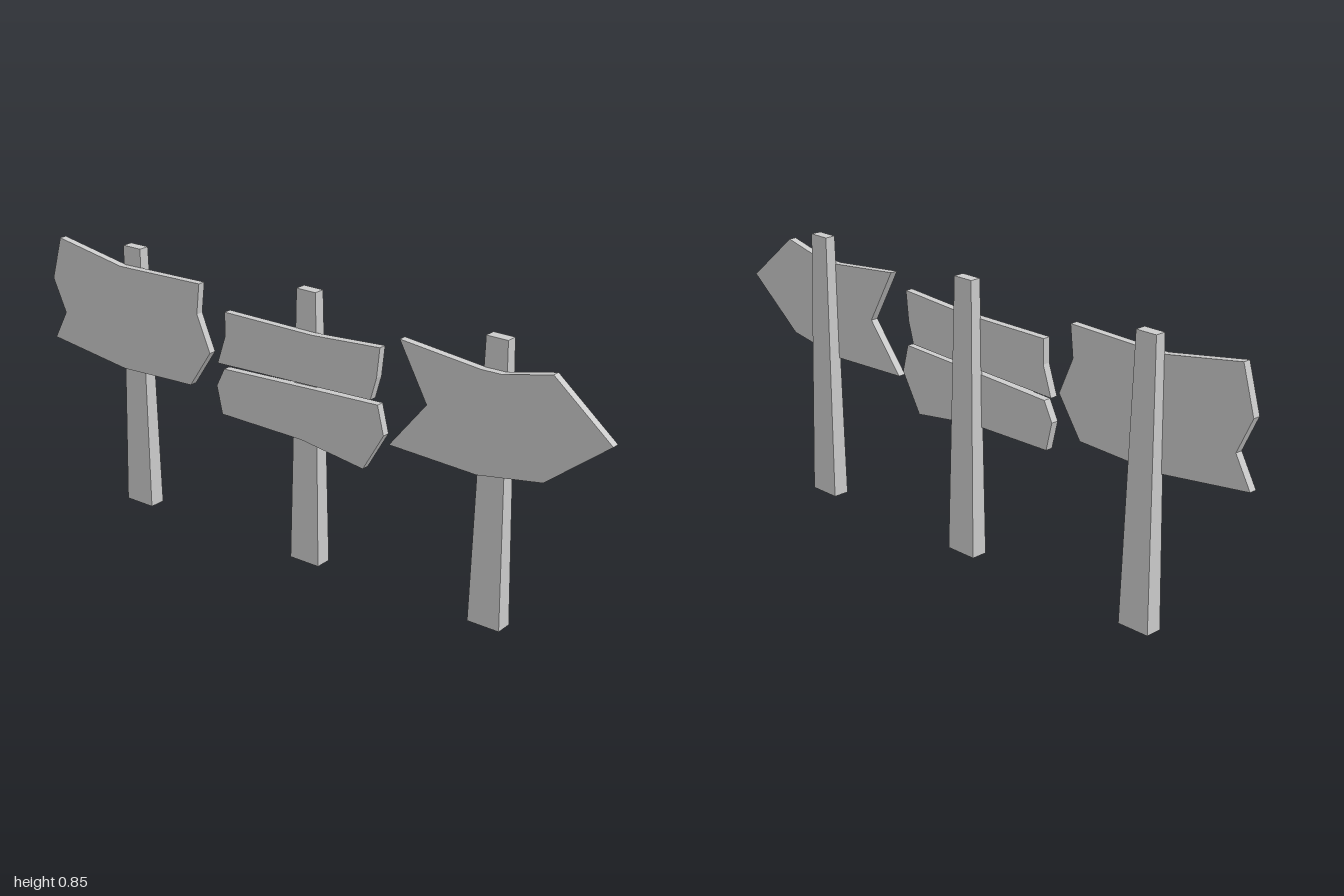
import * as THREE from 'three';

const material = new THREE.MeshStandardMaterial({ color: 0xcccccc, flatShading: true });

// Square post, tapering towards the top
function makePost(x) {
  const height = 0.845, bottom = [0.104, 0.052], top = [0.068, 0.034];
  const geometry = new THREE.BoxGeometry(1, height, 1);
  geometry.translate(0, height / 2, 0);
  const p = geometry.attributes.position;
  for (let i = 0; i < p.count; i++) {
    const [w, d] = p.getY(i) > height / 2 ? top : bottom;
    p.setXYZ(i, p.getX(i) * w, p.getY(i), p.getZ(i) * d);
  }
  geometry.computeVertexNormals();
  const post = new THREE.Mesh(geometry, material);
  post.name = 'post';
  post.position.set(x, 0, -0.006);
  return post;
}

// Flat plank cut to an outline, fixed to the front of a post
function makeBoard(name, outline) {
  const shape = new THREE.Shape(outline.map(([x, y]) => new THREE.Vector2(x, y)));
  const geometry = new THREE.ExtrudeGeometry(shape, { depth: 0.024, bevelEnabled: false });
  const board = new THREE.Mesh(geometry, material);
  board.name = name;
  board.position.z = 0.01;
  return board;
}

const signs = [
  {
    name: 'rightSign', x: -0.672,
    boards: {
      wideBoard: [[-0.957, 0.828], [-0.7, 0.785], [-0.382, 0.793], [-0.393, 0.697], [-0.345, 0.585],
        [-0.425, 0.466], [-0.7, 0.455], [-1, 0.493], [-0.949, 0.585], [-0.997, 0.69]],
    },
  },
  {
    name: 'middleSign', x: 0,
    boards: {
      upperBoard: [[-0.284, 0.727], [0.04, 0.727], [0.275, 0.743], [0.265, 0.652], [0.245, 0.583],
        [0.04, 0.575], [-0.315, 0.562], [-0.284, 0.652]],
      lowerBoard: [[-0.29, 0.549], [0.03, 0.564], [0.27, 0.574], [0.292, 0.487], [0.222, 0.368],
        [0, 0.399], [-0.3, 0.403], [-0.32, 0.49]],
    },
  },
  {
    name: 'leftSign', x: 0.632,
    boards: {
      arrowBoard: [[0.34, 0.783], [0.6, 0.757], [0.666, 0.758], [0.818, 0.793], [1, 0.642],
        [0.805, 0.489], [0.6, 0.455], [0.311, 0.466], [0.433, 0.615]],
    },
  },
];

export function createModel() {
  const model = new THREE.Group();
  model.name = 'signposts';
  for (const { name, x, boards } of signs) {
    const sign = new THREE.Group();
    sign.name = name;
    sign.add(makePost(x));
    for (const [boardName, outline] of Object.entries(boards)) sign.add(makeBoard(boardName, outline));
    model.add(sign);
  }
  return model;
}
